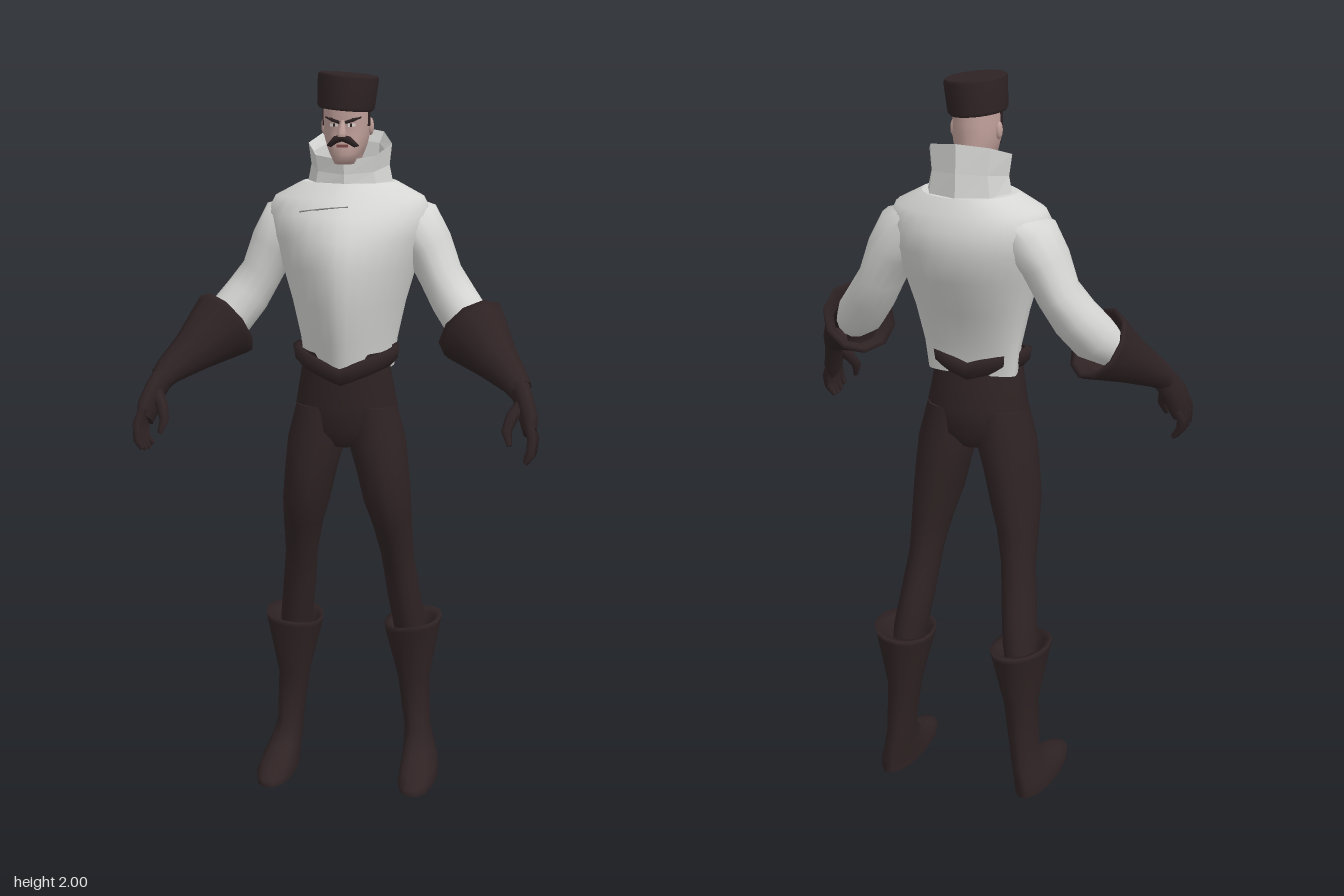
import * as THREE from 'three';

const mat = (name, color, side = THREE.FrontSide) => {
  const m = new THREE.MeshStandardMaterial({ color, side });
  m.name = name;
  return m;
};
const V = (x, y, z) => new THREE.Vector3(x, y, z);

// Horizontal cross-section: half width rx, front zf, back zb, roundness pf / pb
function ring(y, cx, rx, zf, zb, { n = 20, pf = 2, pb = 2, cz = (zf + zb) / 2 } = {}) {
  return Array.from({ length: n }, (_, i) => {
    const a = (i / n) * Math.PI * 2, c = Math.cos(a), s = Math.sin(a), e = 2 / (s > 0 ? pf : pb);
    const r = s > 0 ? zf - cz : cz - zb;
    return V(cx + rx * Math.sign(c) * Math.abs(c) ** e, y, cz + r * Math.sign(s) * Math.abs(s) ** e);
  });
}

// Cross-sections along a path of [x, y, z, radius, radius across]; "side" is the first radius axis
function pathRings(path, side, n = 10) {
  const p = path.map(q => V(q[0], q[1], q[2]));
  return path.map((q, i) => {
    const d = p[Math.min(i + 1, p.length - 1)].clone().sub(p[Math.max(i - 1, 0)]).normalize();
    const u = side.clone().addScaledVector(d, -side.dot(d)).normalize();
    const v = u.clone().cross(d);
    return Array.from({ length: n }, (_, j) => {
      const a = (j / n) * Math.PI * 2;
      return p[i].clone().addScaledVector(u, Math.cos(a) * q[3]).addScaledVector(v, Math.sin(a) * (q[4] ?? q[3]));
    });
  });
}

// Skin over cross-sections, with optional end caps and mirroring in x
function loft(rings, { start = true, end = true, mirror = 1 } = {}) {
  const pos = [], idx = [], n = rings[0].length;
  const add = p => pos.push(p.x * mirror, p.y, p.z) / 3 - 1;
  const tri = (a, b, c) => (mirror > 0 ? idx.push(a, b, c) : idx.push(a, c, b));
  rings.forEach(r => r.forEach(add));
  for (let i = 0; i < rings.length - 1; i++)
    for (let j = 0; j < n; j++) {
      const k = (j + 1) % n, a = i * n, b = a + n;
      tri(a + j, b + j, a + k);
      tri(a + k, b + j, b + k);
    }
  const cap = (r, top) => {
    const c = add(r.reduce((s, p) => s.add(p), V(0, 0, 0)).divideScalar(n)), f = r.map(add);
    f.forEach((v, j) => (top ? tri(c, f[(j + 1) % n], v) : tri(c, v, f[(j + 1) % n])));
  };
  if (start) cap(rings[0], false);
  if (end) cap(rings[rings.length - 1], true);
  const g = new THREE.BufferGeometry();
  g.setAttribute('position', new THREE.Float32BufferAttribute(pos, 3));
  g.setIndex(idx);
  g.computeVertexNormals();
  return g;
}

export function createModel() {
  const model = new THREE.Group();
  const white = mat('white cloth', 0xd6d6d4, THREE.DoubleSide);
  const dark = mat('dark leather', 0x2f2324, THREE.DoubleSide);
  const skin = mat('skin', 0xc0a09a);
  const eyeWhite = mat('eye white', 0xd8d0cc);
  const lip = mat('lip', 0x7c4a48);
  const seamGrey = mat('seam grey', 0x8c8c8a);
  const put = (name, geo, m, parent = model) => {
    const mesh = new THREE.Mesh(geo, m);
    mesh.name = name;
    parent.add(mesh);
    return mesh;
  };

  // Shirt body with a keeled chest
  const body = [
    [1.2, .125, .1, -.09], [1.28, .135, .125, -.105], [1.38, .157, .155, -.15], [1.48, .186, .165, -.2],
    [1.56, .212, .153, -.23], [1.62, .228, .112, -.225], [1.665, .205, .072, -.212], [1.705, .13, .035, -.19],
  ];
  put('shirt', loft(body.map(([y, rx, f, b]) => ring(y, 0, rx, f, b, { n: 28, pf: 1.65, pb: 2.1, cz: -.06 }))), white);

  // Raised collar, open at the top and higher behind
  const collar = [[0, .12, .035, -.188], [.5, .108, .034, -.182], [1, .115, .038, -.178], [.8, .1, .02, -.165], [.1, .09, .01, -.155]]
    .map(([t, rx, f, b]) => ring(0, 0, rx, f, b, { n: 8 }).map(p => p.setY(1.69 + t * (.08 - .36 * (p.z - .03)))));
  put('collar', loft(collar, { start: false, end: false }).toNonIndexed(), white).geometry.computeVertexNormals();

  // Stitched flap edge on the chest
  const zAt = (x, y) => {
    const i = body.findIndex(s => s[0] >= y), A = body[i - 1], B = body[i], t = (y - A[0]) / (B[0] - A[0]);
    const rx = A[1] + t * (B[1] - A[1]), f = A[2] + t * (B[2] - A[2]);
    return -.06 + (f + .06) * (1 - (Math.abs(x) / rx) ** 1.65) ** (1 / 1.65);
  };
  const seam = new THREE.CurvePath();
  const seamPts = [[.02, 1.648], [-.04, 1.643], [-.115, 1.632]].map(([x, y]) => V(x, y, zAt(x, y) + .001));
  seam.add(new THREE.CatmullRomCurve3(seamPts));
  put('chestSeam', new THREE.TubeGeometry(seam, 12, .002, 4), seamGrey);

  // Trousers: hips and belt
  const hips = [[.985, .05, .05, -.08], [1.03, .14, .078, -.113], [1.1, .142, .086, -.117], [1.2, .124, .09, -.1], [1.25, .12, .09, -.09]];
  put('hips', loft(hips.map(([y, rx, f, b]) => ring(y, 0, rx, f, b))), dark);
  const belt = [[1.165, .125, .095, -.1], [1.178, .143, .112, -.117], [1.207, .148, .118, -.122], [1.215, .128, .1, -.1]]
    .map(([y, rx, f, b]) => ring(y, 0, rx, f, b, { pf: 1.8 }).map(p => p.setY(y + Math.abs(p.x) * .36 - Math.min(p.z, 0) * .2)));
  put('belt', loft(belt, { start: false, end: false }), dark);

  for (const [label, mirror] of [['left', 1], ['right', -1]]) {
    const limb = new THREE.Group();
    limb.name = label + 'Limbs';
    model.add(limb);

    // Leg
    const leg = [
      [.36, .172, .04, -.075, -.19], [.45, .163, .046, -.05, -.187], [.55, .15, .047, -.027, -.155], [.66, .137, .046, .002, -.125],
      [.75, .127, .055, .045, -.121], [.83, .114, .067, .08, -.122], [.92, .1, .074, .085, -.12], [1, .084, .082, .083, -.115], [1.1, .07, .07, .075, -.105],
    ];
    put(label + 'Leg', loft(leg.map(([y, cx, rx, f, b]) => ring(y, cx, rx, f, b, { n: 14 })), { mirror }), dark, limb);

    // Boot with flared top and long toe
    const boot = [
      [0, .205, .053, .12, -.212], [.018, .205, .054, .12, -.213], [.037, .203, .051, .07, -.212], [.07, .196, .044, -.02, -.21],
      [.12, .188, .037, -.083, -.207], [.27, .176, .045, -.082, -.207], [.43, .173, .08, -.04, -.243], [.447, .173, .083, -.036, -.25],
      [.44, .17, .065, -.05, -.22], [.38, .17, .045, -.07, -.195],
    ].map(([y, cx, rx, f, b], i) => ring(y, cx, rx, f, b, { n: 14, pf: 2.3 }).map(p => (i > 5 ? p.setY(y + (p.x - .173) * .13) : p)));
    put(label + 'Boot', loft(boot, { mirror, end: false }), dark, limb);

    // Sleeve
    const out = V(.8, .5, .1);
    const sleeve = [
      [.13, 1.635, -.085, .04, .09], [.17, 1.59, -.085, .08, .1], [.215, 1.53, -.085, .066, .095],
      [.25, 1.45, -.083, .058, .085], [.29, 1.385, -.065, .064, .075], [.335, 1.325, -.035, .066, .068], [.375, 1.285, 0, .05],
    ];
    put(label + 'Sleeve', loft(pathRings(sleeve, out, 14), { mirror }), white, limb);

    // Gauntlet, with the cuff turned in at the rim
    const glove = [
      [.36, 1.29, -.015, .066], [.344, 1.307, -.031, .09], [.342, 1.31, -.034, .104], [.352, 1.3, -.022, .1],
      [.42, 1.24, .048, .062], [.475, 1.195, .105, .04], [.492, 1.175, .125, .033],
    ];
    // The rim folds back on itself, so its rings share the forearm's direction
    const dir = V(.58, -.54, .62).normalize();
    const u = out.clone().addScaledVector(dir, -out.dot(dir)).normalize(), v = u.clone().cross(dir);
    const gloveRings = glove.map(([x, y, z, r]) => Array.from({ length: 10 }, (_, j) => {
      const a = (j / 10) * Math.PI * 2;
      return V(x, y, z).addScaledVector(u, r * Math.cos(a)).addScaledVector(v, r * Math.sin(a));
    }));
    put(label + 'Gauntlet', loft(gloveRings, { mirror, start: false }), dark, limb);

    // Hand, fingers and thumb
    const flat = V(1, .1, -.2);
    const palm = [[.48, 1.19, .112, .032, .034], [.502, 1.15, .14, .026, .042], [.517, 1.105, .168, .025, .05], [.522, 1.075, .185, .018, .045]];
    put(label + 'Palm', loft(pathRings(palm, flat), { mirror }), dark, limb);
    for (let i = 0; i < 4; i++) {
      const t = i / 3, drop = Math.sin(Math.PI * (.25 + .6 * t)) * .018;
      const finger = [
        [.518, 1.085 + .025 * t, .145 + .072 * t, .014], [.532, 1.055 + .015 * t, .152 + .08 * t, .0135],
        [.529, 1.03 - drop * .5, .156 + .084 * t, .0125], [.508 + .008 * t, 1.012 - drop, .155 + .087 * t, .007],
      ];
      put(label + 'Finger' + (i + 1), loft(pathRings(finger, flat, 6), { mirror }), dark, limb);
    }
    const thumb = [[.5, 1.15, .15, .018], [.474, 1.115, .185, .017], [.462, 1.08, .208, .014], [.472, 1.045, .222, .007]];
    put(label + 'Thumb', loft(pathRings(thumb, flat, 6), { mirror }), dark, limb);

    // Ear, sideburn, eye, brow and half of the moustache
    const ear = put(label + 'Ear', new THREE.SphereGeometry(1, 8, 6), skin, limb);
    ear.scale.set(.009, .024, .015);
    ear.position.set(.063 * mirror, 1.855, -.026);
    const burn = put(label + 'Sideburn', new THREE.BoxGeometry(.006, .05, .012), dark, limb);
    burn.position.set(.061 * mirror, 1.882, -.006);
    const eye = put(label + 'Eye', new THREE.BoxGeometry(.02, .008, .006), eyeWhite, limb);
    eye.position.set(.024 * mirror, 1.862, .0525);
    eye.rotation.y = .35 * mirror;
    const pupil = put(label + 'Pupil', new THREE.BoxGeometry(.006, .008, .004), dark, limb);
    pupil.position.set(.022 * mirror, 1.862, .055);
    const brow = [[.008, 1.869, .06, .004], [.028, 1.876, .056, .005], [.048, 1.882, .04, .002]];
    put(label + 'Brow', loft(pathRings(brow, V(0, 1, 0), 6), { mirror }), dark, limb);
    const tache = [[0, 1.829, .066, .009], [.018, 1.824, .065, .01], [.034, 1.81, .054, .007], [.042, 1.808, .046, .002]];
    put(label + 'Moustache', loft(pathRings(tache, V(0, 1, 0), 6), { mirror }), dark, limb);
  }

  // Head and neck
  const head = [
    [1.66, .055, 0, -.11], [1.75, .05, .002, -.105], [1.76, .034, .052, -.105], [1.785, .045, .062, -.104],
    [1.805, .053, .056, -.103], [1.835, .061, .057, -.103], [1.86, .061, .054, -.105], [1.878, .062, .062, -.105], [1.93, .06, .06, -.105],
  ];
  put('head', loft(head.map(([y, rx, f, b]) => ring(y, 0, rx, f, b, { n: 20, pf: 2.4 }))), skin);
  const nose = [[1.832, .012, .08, .05], [1.842, .013, .083, .05], [1.86, .008, .07, .05], [1.876, .005, .062, .05]];
  put('nose', loft(nose.map(([y, rx, f, b]) => ring(y, 0, rx, f, b, { n: 8 }))), skin);
  put('mouth', new THREE.BoxGeometry(.03, .007, .008), lip).position.set(0, 1.807, .055);

  // Tall brimless hat, tipped to one side
  const hat = [[-.05, .071, .068, -.115], [-.042, .077, .073, -.121], [.036, .082, .076, -.123], [.043, .078, .071, -.118]]
    .map(([y, rx, f, b]) => ring(y, 0, rx, f, b, { n: 24 }));
  const cap = put('hat', loft(hat), dark);
  cap.position.y = 1.95;
  cap.rotation.z = -.09;

  return model;
}
